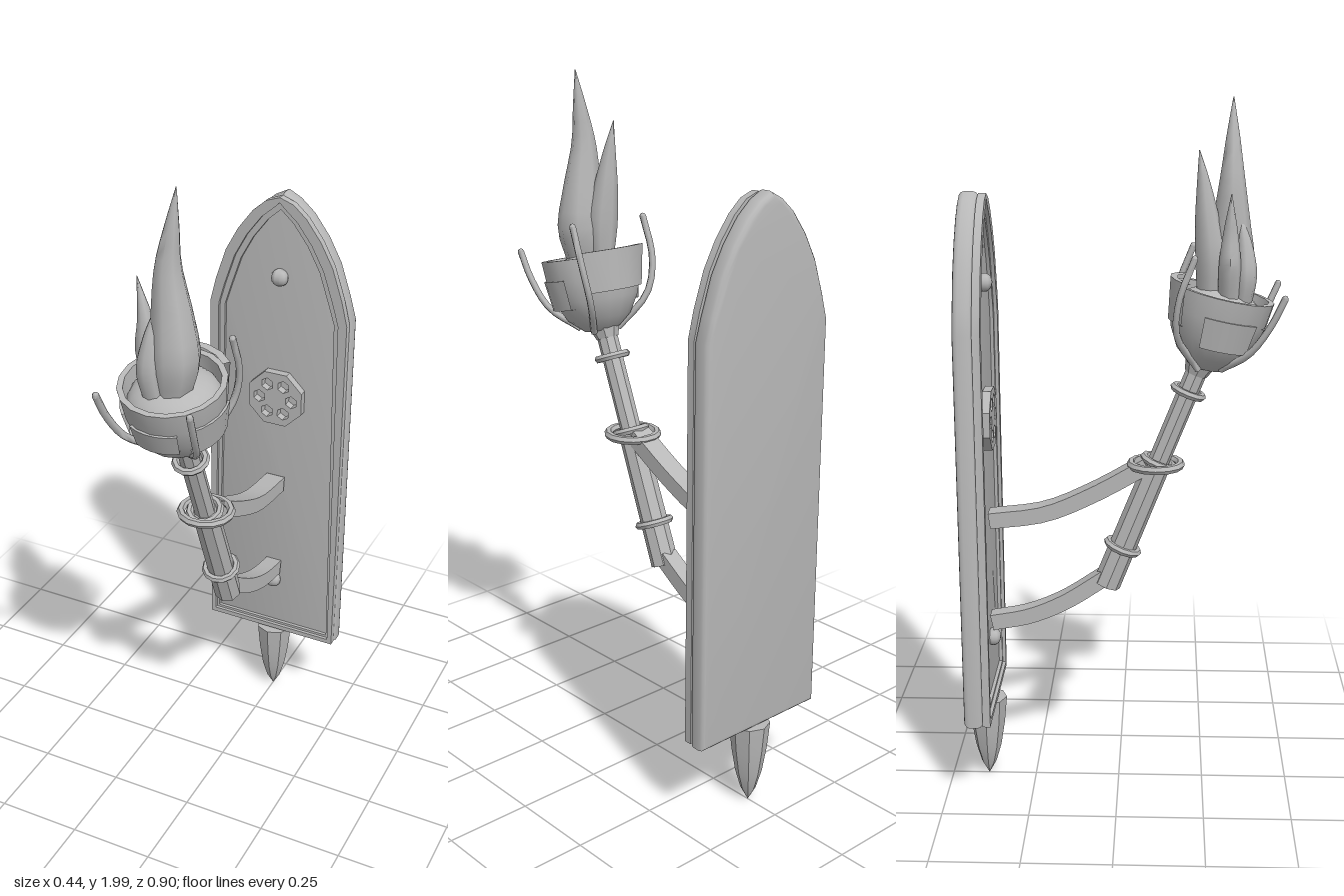
import * as THREE from 'three';
import { toCreasedNormals } from 'three/addons/utils/BufferGeometryUtils.js';

export function createModel() {
  const model = new THREE.Group();
  const grey = new THREE.MeshStandardMaterial({ color: 0xb8b8b8, side: THREE.DoubleSide });
  grey.name = 'stone grey';

  const add = (name, geo, parent = model, crease = 0.6) => {
    const mesh = new THREE.Mesh(toCreasedNormals(geo, crease), grey);
    mesh.name = name;
    parent.add(mesh);
    return mesh;
  };
  const v2 = (list) => list.map(([x, y]) => new THREE.Vector2(x, y));
  const v3 = (list) => list.map(([x, y, z]) => new THREE.Vector3(x, y, z));

  // Arched outline of the backplate; inset shrinks it, taper narrows the shoulders
  const arch = (inset, taper = 0) => {
    const half = [[0.218, 0.265], [0.218, 1.4], [0.2, 1.475], [0.168, 1.57], [0.13, 1.64],
      [0.085, 1.7], [0.045, 1.735], [0, 1.75]].map(([x, y], i) => [
      Math.max(0, x - inset - (i > 0 ? taper : 0)),
      i === 0 ? y + inset : y - inset * (i === 1 ? 0.3 : 1)]);
    half[7][0] = 0;
    const left = half.slice(0, 7).reverse().map(([x, y]) => [-x, y]);
    return v2([...half, ...left]);
  };

  // Backplate body with rounded edges
  const body = new THREE.ExtrudeGeometry(new THREE.Shape(arch(0.016)), {
    depth: 0.024, bevelEnabled: true, bevelThickness: 0.016, bevelSize: 0.016, bevelSegments: 3 });
  add('backplate', body.translate(0, 0, -0.418));

  // Raised frame, and a thinner inner step
  const frame = (name, outer, inner, z, depth) => {
    const shape = new THREE.Shape(outer);
    shape.holes.push(new THREE.Path(inner));
    add(name, new THREE.ExtrudeGeometry(shape, { depth, bevelEnabled: false }).translate(0, 0, z), model, 0.4);
  };
  frame('plateFrame', arch(0.003), arch(0.018, 0.012), -0.38, 0.022);
  frame('plateFrameStep', arch(0.016, 0.01), arch(0.026, 0.02), -0.38, 0.012);

  // Pointed finial under the plate
  add('finial', new THREE.LatheGeometry(
    v2([[0, 0.01], [0.022, 0.05], [0.038, 0.105], [0.05, 0.18], [0.058, 0.262], [0, 0.262]]), 8)
    .translate(0, 0, -0.392), model, 0.3);

  // Bolts
  for (const y of [1.505, 0.455]) {
    add('bolt', new THREE.SphereGeometry(0.026, 10, 8).scale(1, 1, 0.9).translate(0, y, -0.37), model, 1);
  }

  // Octagonal medallion with a ring of openings
  const polygon = (r, n, cx = 0, cy = 0) => v2(Array.from({ length: n }, (_, i) => {
    const a = ((i + 0.5) / n) * Math.PI * 2;
    return [cx + r * Math.cos(a), cy + r * Math.sin(a)];
  }));
  const rosette = new THREE.Shape(polygon(0.092, 8));
  for (let i = 0; i < 6; i++) {
    const a = (i / 6) * Math.PI * 2;
    rosette.holes.push(new THREE.Path(polygon(0.02, 6, 0.052 * Math.cos(a), 0.052 * Math.sin(a))));
  }
  add('medallion', new THREE.ExtrudeGeometry(rosette, { depth: 0.024, bevelEnabled: false })
    .translate(0, 1.12, -0.378), model, 0.3);

  // Curved flat arms, drawn in the z-y plane and given a width along x
  const arm = (name, path, width) => {
    const curve = new THREE.CatmullRomCurve3(v3(path.map(([z, y]) => [z, y, 0])));
    const top = [], bottom = [];
    for (let i = 0; i <= 10; i++) {
      const p = curve.getPoint(i / 10), t = curve.getTangent(i / 10);
      top.push([p.x - t.y * 0.023, p.y + t.x * 0.023]);
      bottom.unshift([p.x + t.y * 0.023, p.y - t.x * 0.023]);
    }
    const geo = new THREE.ExtrudeGeometry(new THREE.Shape(v2([...top, ...bottom])),
      { depth: width, bevelEnabled: false });
    add(name, geo.translate(0, 0, -width / 2).rotateY(-Math.PI / 2));
  };
  arm('upperArm', [[-0.37, 0.822], [-0.21, 0.845], [-0.07, 0.905], [0.08, 0.99]], 0.06);
  arm('lowerArm', [[-0.37, 0.508], [-0.26, 0.53], [-0.155, 0.575], [-0.04, 0.65]], 0.05);

  // Leaning torch shaft with collars
  const shaft = new THREE.Group();
  shaft.name = 'shaft';
  shaft.position.set(0, 0.625, -0.035);
  shaft.rotation.x = 0.378;
  model.add(shaft);
  add('lowerShaft', new THREE.CylinderGeometry(0.038, 0.04, 0.4, 8).translate(0, 0.2, 0), shaft, 0.3);
  add('upperShaft', new THREE.CylinderGeometry(0.03, 0.03, 0.34, 8).translate(0, 0.54, 0), shaft, 0.3);
  for (const [y, r] of [[0.125, 0.046], [0.4, 0.044], [0.62, 0.042]]) {
    add('collar', new THREE.TorusGeometry(r, 0.011, 6, 12).rotateX(Math.PI / 2).translate(0, y, 0), shaft, 1);
  }
  add('neck', new THREE.CylinderGeometry(0.05, 0.032, 0.05, 8).translate(0, 0.7, 0), shaft, 0.3);
  add('supportRing', new THREE.TorusGeometry(0.071, 0.012, 6, 14).rotateX(Math.PI / 2)
    .translate(0, 0.99, 0.105));

  // Bowl, tilted forward
  const bowl = new THREE.Group();
  bowl.name = 'bowl';
  bowl.position.set(0, 1.265, 0.24);
  bowl.rotation.x = 0.22;
  model.add(bowl);
  add('cup', new THREE.LatheGeometry(v2([[0, 0], [0.05, 0.008], [0.092, 0.045], [0.122, 0.1],
    [0.136, 0.16], [0.142, 0.222], [0.126, 0.222], [0.12, 0.15], [0, 0.13]]), 18), bowl, 0.7);
  add('embers', new THREE.SphereGeometry(0.124, 18, 10, 0, Math.PI * 2, 0, Math.PI / 2)
    .scale(1, 0.55, 1).translate(0, 0.165, 0), bowl, 1);

  // Broken outer plating: start angle, sweep, low and high edge
  for (const [start, sweep, low, high] of [[-0.5, 1.0, 0.09, 0.155], [0.75, 1.1, 0.08, 0.165],
    [2.3, 1.6, 0.12, 0.235], [4.4, 1.1, 0.08, 0.165]]) {
    const r = (y) => 0.128 + (y - 0.08) * 0.17;
    add('bowlPlating', new THREE.LatheGeometry(v2([[r(low) - 0.02, low], [r(low), low],
      [r(high), high], [r(high) - 0.02, high]]), 5, start, sweep), bowl, 0.4);
  }

  // Prongs around the bowl
  for (const s of [1, -1]) {
    const prongs = {
      frontProng: [[0.13, 1.485, 0.445], [0.122, 1.41, 0.41], [0.1, 1.33, 0.355], [0.045, 1.275, 0.28]],
      backProng: [[0.128, 1.59, 0.205], [0.128, 1.48, 0.165], [0.105, 1.38, 0.16], [0.045, 1.275, 0.22]],
    };
    for (const [name, pts] of Object.entries(prongs)) {
      const curve = new THREE.CatmullRomCurve3(v3(pts.map(([x, y, z]) => [s * x, y, z])));
      add(name, new THREE.TubeGeometry(curve, 10, 0.01, 6), model, 1.2);
      add(name + 'Tip', new THREE.SphereGeometry(0.01, 6, 5).translate(s * pts[0][0], pts[0][1], pts[0][2]), model, 1.2);
    }
  }

  // Flame tongue lofted through [x, y, z, half width, half depth]
  const flame = (name, rows) => {
    const path = new THREE.CatmullRomCurve3(v3(rows));
    const size = new THREE.CatmullRomCurve3(v3(rows.map((r) => [r[3], r[4], 0])));
    const steps = 14, sides = 8, pos = [], idx = [];
    for (let j = 0; j <= steps; j++) {
      const p = path.getPoint(j / steps), s = size.getPoint(j / steps);
      for (let i = 0; i < sides; i++) {
        const a = (i / sides) * Math.PI * 2;
        pos.push(p.x + s.x * Math.cos(a), p.y, p.z + s.y * Math.sin(a));
        if (j === steps) continue;
        const k = j * sides + i, n = j * sides + ((i + 1) % sides);
        idx.push(k, k + sides, n, n, k + sides, n + sides);
      }
    }
    const geo = new THREE.BufferGeometry();
    geo.setAttribute('position', new THREE.Float32BufferAttribute(pos, 3));
    geo.setIndex(idx);
    add(name, geo, model, 0.9);
  };
  flame('mainFlame', [[0.01, 1.45, 0.3, 0.045, 0.05], [0.02, 1.56, 0.305, 0.066, 0.066],
    [0.012, 1.68, 0.305, 0.056, 0.05], [0.004, 1.8, 0.305, 0.036, 0.032],
    [0.016, 1.9, 0.305, 0.02, 0.018], [0.03, 2.0, 0.305, 0.001, 0.001]]);
  flame('backFlame', [[-0.01, 1.46, 0.25, 0.03, 0.035], [-0.015, 1.58, 0.25, 0.045, 0.042],
    [-0.02, 1.69, 0.238, 0.034, 0.032], [-0.025, 1.79, 0.226, 0.016, 0.016],
    [-0.03, 1.865, 0.215, 0.001, 0.001]]);
  flame('sideFlame', [[-0.04, 1.46, 0.3, 0.03, 0.03], [-0.06, 1.56, 0.3, 0.035, 0.03],
    [-0.066, 1.65, 0.3, 0.02, 0.02], [-0.085, 1.755, 0.3, 0.001, 0.001]]);
  flame('frontFlame', [[-0.025, 1.44, 0.335, 0.028, 0.025], [-0.035, 1.53, 0.345, 0.034, 0.03],
    [-0.028, 1.62, 0.34, 0.022, 0.02], [-0.02, 1.7, 0.325, 0.001, 0.001]]);

  return model;
}
